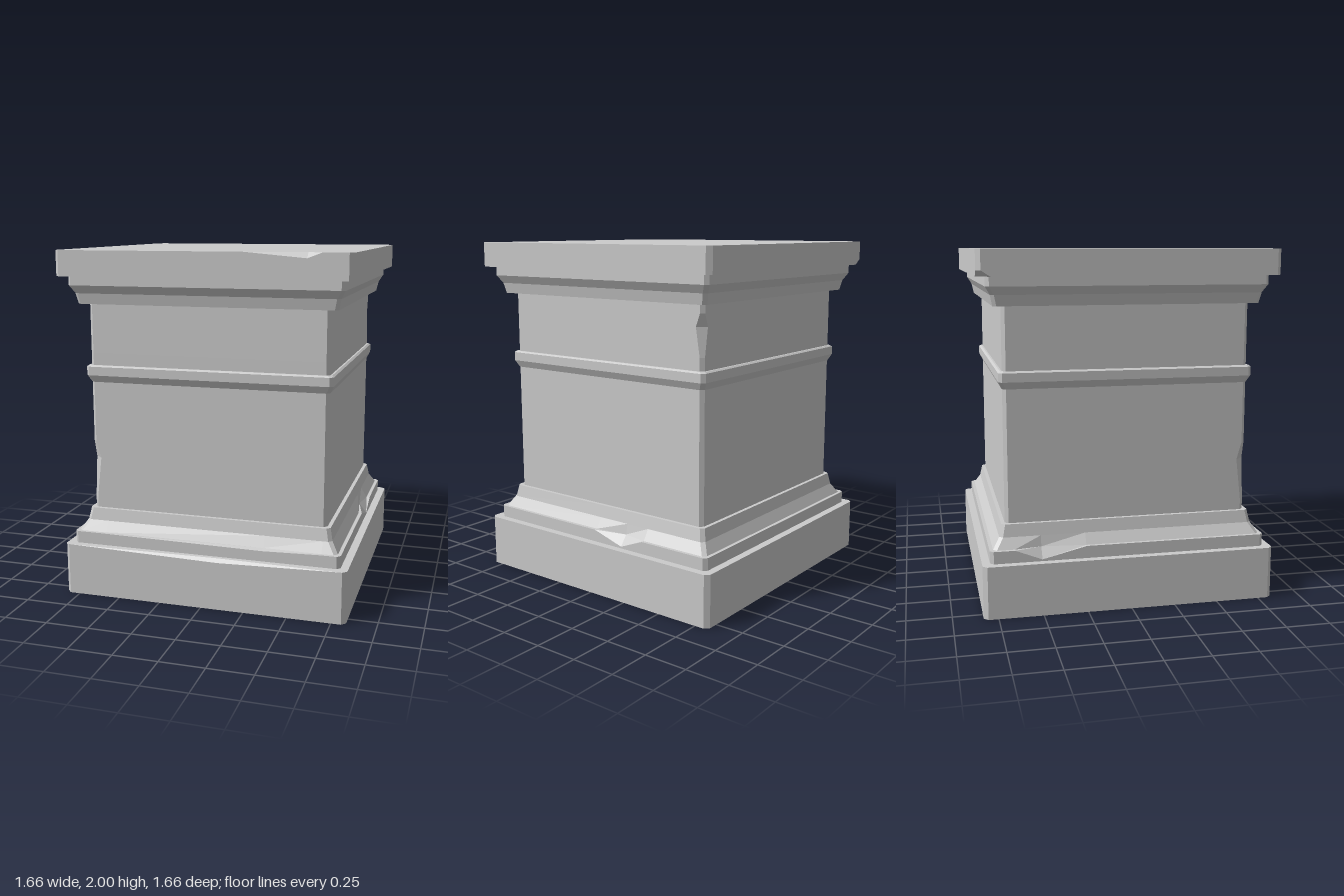
import * as THREE from 'three';

const material = new THREE.MeshStandardMaterial({ color: 0xcccccc, flatShading: true });

// Sides: 0 front, 1 right (+x), 2 back, 3 left (-x). u runs along a side, v points outwards.
const onSide = [
  (u, v) => [u, v],
  (u, v) => [v, -u],
  (u, v) => [-u, -v],
  (u, v) => [-v, u],
];

// Square stone course with chamfered corners, lofted through rings of [halfWidth, y].
// dents:   { side, a, m, b, moves: { ring: [inset, drop] } } nick an edge between a and b
// corners: { corner, moves: { ring: extraChamfer } } widen the chamfer at one corner
function course(name, profile, chamfer, dents = [], corners = []) {
  const rings = profile.map(([h, y], r) => {
    const cut = [0, 1, 2, 3].map((k) => {
      const chip = corners.find((c) => c.corner === k);
      return chamfer + (chip?.moves[r] ?? 0);
    });
    const ring = [];
    for (let s = 0; s < 4; s++) {
      const add = (u, inset = 0, drop = 0) => {
        const [x, z] = onSide[s](u, h - inset);
        ring.push(new THREE.Vector3(x, y - drop, z));
      };
      add(-h + cut[(s + 3) % 4]);
      for (const d of dents.filter((e) => e.side === s)) {
        add(d.a);
        add(d.m, ...(d.moves[r] ?? []));
        add(d.b);
      }
      add(h - cut[s]);
    }
    return ring;
  });

  const pos = [];
  const tri = (a, b, c) => {
    const area = new THREE.Triangle(a, b, c).getArea();
    if (area > 1e-8) for (const p of [a, b, c]) pos.push(p.x, p.y, p.z);
  };
  // Walls
  for (let r = 0; r + 1 < rings.length; r++) {
    const lo = rings[r], hi = rings[r + 1], n = lo.length;
    for (let i = 0; i < n; i++) {
      const j = (i + 1) % n;
      tri(lo[i], lo[j], hi[j]);
      tri(lo[i], hi[j], hi[i]);
    }
  }
  // Top and bottom
  const cap = (ring, up) => {
    const outline = ring.map((p) => new THREE.Vector2(p.x, -p.z));
    for (const [a, b, c] of THREE.ShapeUtils.triangulateShape(outline, [])) {
      if (up) tri(ring[a], ring[b], ring[c]);
      else tri(ring[a], ring[c], ring[b]);
    }
  };
  cap(rings[0], false);
  cap(rings[rings.length - 1], true);

  const geometry = new THREE.BufferGeometry();
  geometry.setAttribute('position', new THREE.Float32BufferAttribute(pos, 3));
  geometry.computeVertexNormals();
  const mesh = new THREE.Mesh(geometry, material);
  mesh.name = name;
  return mesh;
}

export function createModel() {
  const group = new THREE.Group();
  group.name = 'pedestal';

  group.add(
    // Plinth block with a worn front edge
    course('plinth', [[0.832, 0], [0.832, 0.3], [0.832, 0.3]], 0.025, [
      { side: 0, a: -0.79, m: 0.1, b: 0.79, moves: { 1: [0, 0.02], 2: [0.02, 0] } },
    ]),

    // Base moulding, nicked on three sides
    course('baseMoulding',
      [[0.788, 0.3], [0.788, 0.37], [0.768, 0.37], [0.73, 0.43], [0.716, 0.5], [0.716, 0.5]], 0.02, [
        { side: 0, a: -0.6, m: 0.35, b: 0.68, moves: { 1: [0, 0.01], 2: [0.005, 0] } },
        { side: 1, a: 0, m: 0.2, b: 0.35, moves: { 1: [0, 0.06], 2: [0.025, 0] } },
        { side: 3, a: -0.65, m: -0.5, b: -0.25, moves: { 1: [0, 0.06], 2: [0.025, 0] } },
      ]),

    // Shaft with chipped corners
    course('shaft',
      [[0.695, 0.5], [0.695, 0.56], [0.695, 0.8], [0.695, 0.9], [0.695, 1.42], [0.695, 1.58],
        [0.695, 1.65], [0.695, 1.7]], 0.02, [], [
        { corner: 3, moves: { 2: 0.028 } },
        { corner: 1, moves: { 5: 0.025 } },
      ]),

    // Band around the shaft
    course('band', [[0.697, 1.25], [0.717, 1.29], [0.717, 1.34], [0.705, 1.348]], 0.02),

    // Cornice moulding
    course('cornice',
      [[0.742, 1.7], [0.755, 1.76], [0.776, 1.795], [0.782, 1.805], [0.782, 1.857]], 0.02),

    // Top slab with a chipped front edge and a chipped lower corner
    course('topSlab', [[0.832, 1.857], [0.832, 1.89], [0.832, 2], [0.832, 2]], 0.025, [
      { side: 0, a: 0.25, m: 0.59, b: 0.67, moves: { 2: [0, 0.03], 3: [0.034, 0] } },
    ], [{ corner: 2, moves: { 0: 0.05 } }]),
  );
  return group;
}
